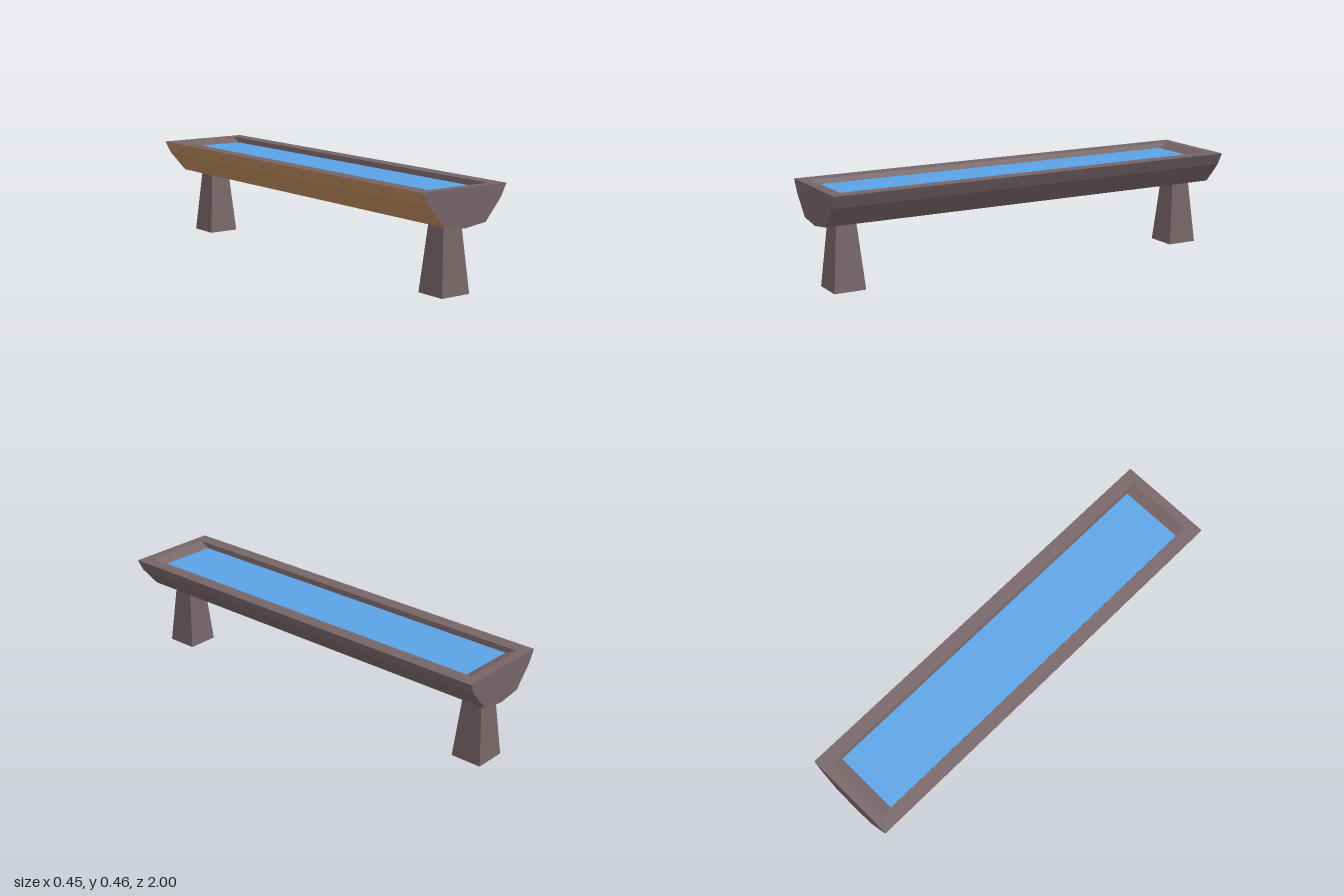
import * as THREE from 'three';

const stone = new THREE.MeshStandardMaterial({ color: 0x766467, side: THREE.DoubleSide });
stone.name = 'stone';
const wood = new THREE.MeshStandardMaterial({ color: 0xb8875a, side: THREE.DoubleSide });
wood.name = 'brown underside';
const waterBlue = new THREE.MeshStandardMaterial({ color: 0x5aa2e6 });
waterBlue.name = 'water blue';

// Flat-shaded mesh from four-cornered faces, corners counter-clockwise
function quadMesh(name, quads, material) {
  const positions = [];
  for (const [a, b, c, d] of quads) positions.push(...a, ...b, ...c, ...a, ...c, ...d);
  const geometry = new THREE.BufferGeometry();
  geometry.setAttribute('position', new THREE.Float32BufferAttribute(positions, 3));
  geometry.computeVertexNormals();
  const mesh = new THREE.Mesh(geometry, material);
  mesh.name = name;
  return mesh;
}

// Rectangle of four corners at height y, counter-clockwise from above
const ring = (x, z, y, cz = 0) => [
  [-x, y, cz + z], [x, y, cz + z], [x, y, cz - z], [-x, y, cz - z],
];

// Four faces joining a lower ring to an upper ring, facing outward
const band = (lower, upper) => lower.map((p, i) => {
  const j = (i + 1) % 4;
  return [p, lower[j], upper[j], upper[i]];
});

export function createModel() {
  const group = new THREE.Group();
  group.name = 'waterTrough';

  // Hull section, from the right rim under the keel to the left rim
  const section = [
    [0.225, 0.459], [0.195, 0.402], [0.112, 0.307], [0, 0.292],
    [-0.112, 0.307], [-0.195, 0.402], [-0.225, 0.459],
  ];
  const facets = section.slice(1).map(([x1, y1], i) => {
    const [x0, y0] = section[i];
    return [[x0, y0, 1], [x1, y1, 1], [x1, y1, -1], [x0, y0, -1]];
  });
  group.add(quadMesh('hullSide', facets.slice(0, 2), stone));
  group.add(quadMesh('hullUnderside', facets.slice(2), wood));

  // Flat end walls
  const endShape = new THREE.Shape(section.map(([x, y]) => new THREE.Vector2(x, y)));
  for (const side of [1, -1]) {
    const end = new THREE.Mesh(new THREE.ShapeGeometry(endShape), stone);
    end.name = side > 0 ? 'frontEnd' : 'backEnd';
    end.position.z = side;
    if (side < 0) end.rotation.y = Math.PI;
    group.add(end);
  }

  // Rim, sloping inner walls and water surface
  const outer = ring(0.225, 1, 0.459);
  const inner = ring(0.16, 0.955, 0.459);
  const surface = ring(0.154, 0.905, 0.436);
  group.add(quadMesh('rim', band(outer, inner), stone));
  group.add(quadMesh('innerWalls', band(inner, surface), stone));
  group.add(quadMesh('water', [surface], waterBlue));

  // Tapered legs, open underneath
  for (const [name, z] of [['frontLeg', 0.876], ['backLeg', -0.888]]) {
    const foot = ring(0.075, 0.074, 0, z);
    const top = ring(0.048, 0.046, 0.305, z);
    group.add(quadMesh(name, band(foot, top), stone));
  }

  return group;
}
